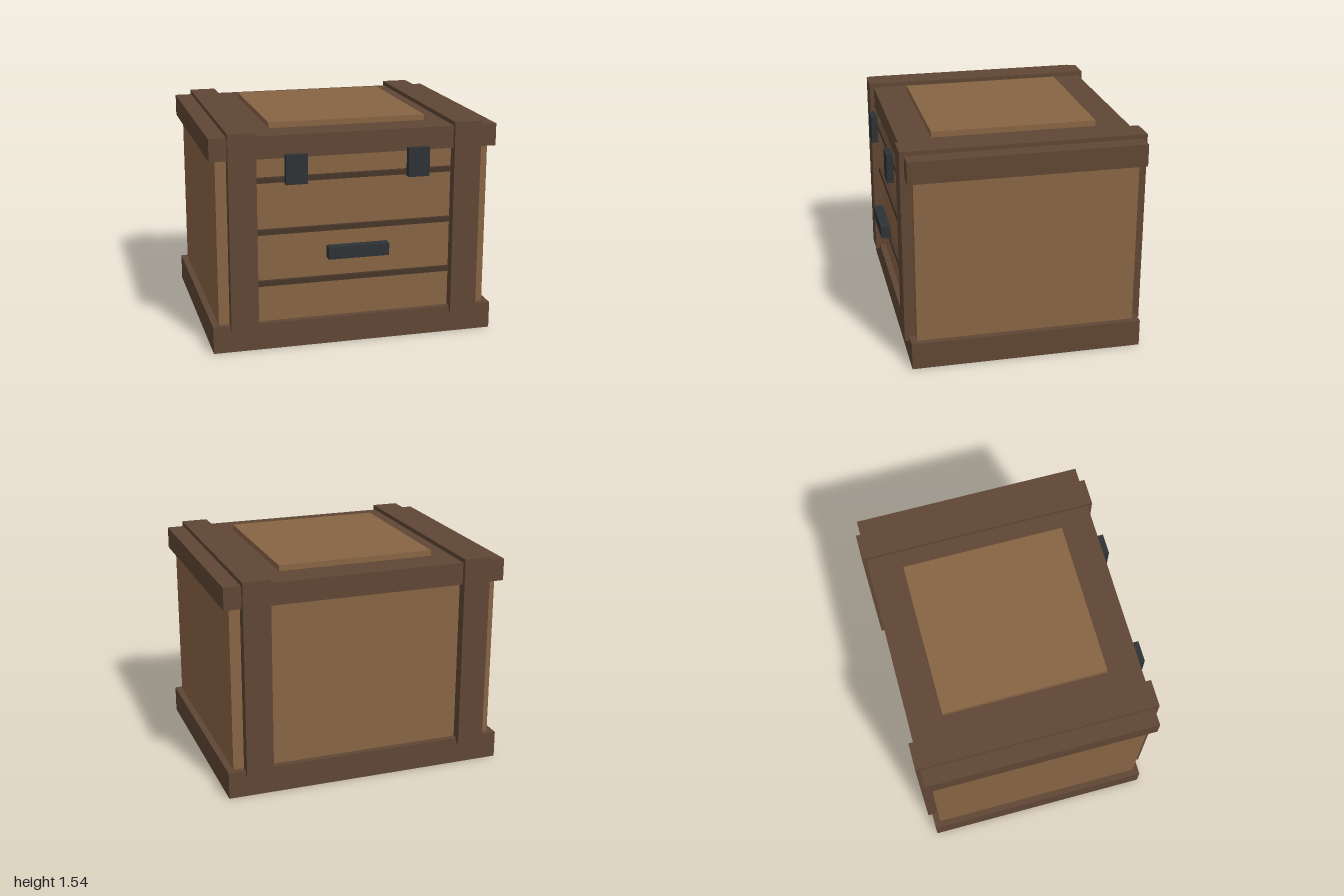
import * as THREE from 'three';

const paint = (color) => new THREE.MeshStandardMaterial({ color });

export function createModel() {
  const crate = new THREE.Group();
  crate.name = 'crate';

  const frameWood = paint(0x5f4634);
  const panelWood = paint(0x886444);
  const grooveWood = paint(0x483628);
  const iron = paint(0x2d3235);

  // Box given by its extents along each axis
  function block(name, material, [x0, x1], [y0, y1], [z0, z1]) {
    const mesh = new THREE.Mesh(new THREE.BoxGeometry(x1 - x0, y1 - y0, z1 - z0), material);
    mesh.position.set((x0 + x1) / 2, (y0 + y1) / 2, (z0 + z1) / 2);
    mesh.name = name;
    crate.add(mesh);
  }

  // Base, body and lid
  block('base', frameWood, [-1, 1], [0, 0.19], [-0.837, 0.78]);
  block('body', panelWood, [-0.955, 0.955], [0.19, 1.345], [-0.793, 0.737]);
  block('lid', frameWood, [-1, 1], [1.345, 1.5], [-0.837, 0.78]);
  block('lidPanel', panelWood, [-0.553, 0.553], [1.5, 1.54], [-0.603, 0.547]);

  // Straps wrapping the crate and latches, one pair per side
  for (const [side, s] of [['left', 1], ['right', -1]]) {
    const span = (a, b) => (s > 0 ? [a, b] : [-b, -a]);
    block(side + 'Strap', frameWood, span(0.69, 0.88), [0.155, 1.53], [-0.868, 0.811]);
    block(side + 'Latch', iron, span(0.35, 0.5), [1.175, 1.375], [0.8, 0.846]);
  }

  // Dark slats across the front
  [0.468, 0.832, 1.193].forEach((y, i) =>
    block('frontSlat' + (i + 1), grooveWood, [-0.685, 0.685], [y - 0.018, y + 0.018], [0.72, 0.765]));

  // Front handle
  block('handle', iron, [-0.213, 0.213], [0.64, 0.725], [0.8, 0.868]);

  return crate;
}
